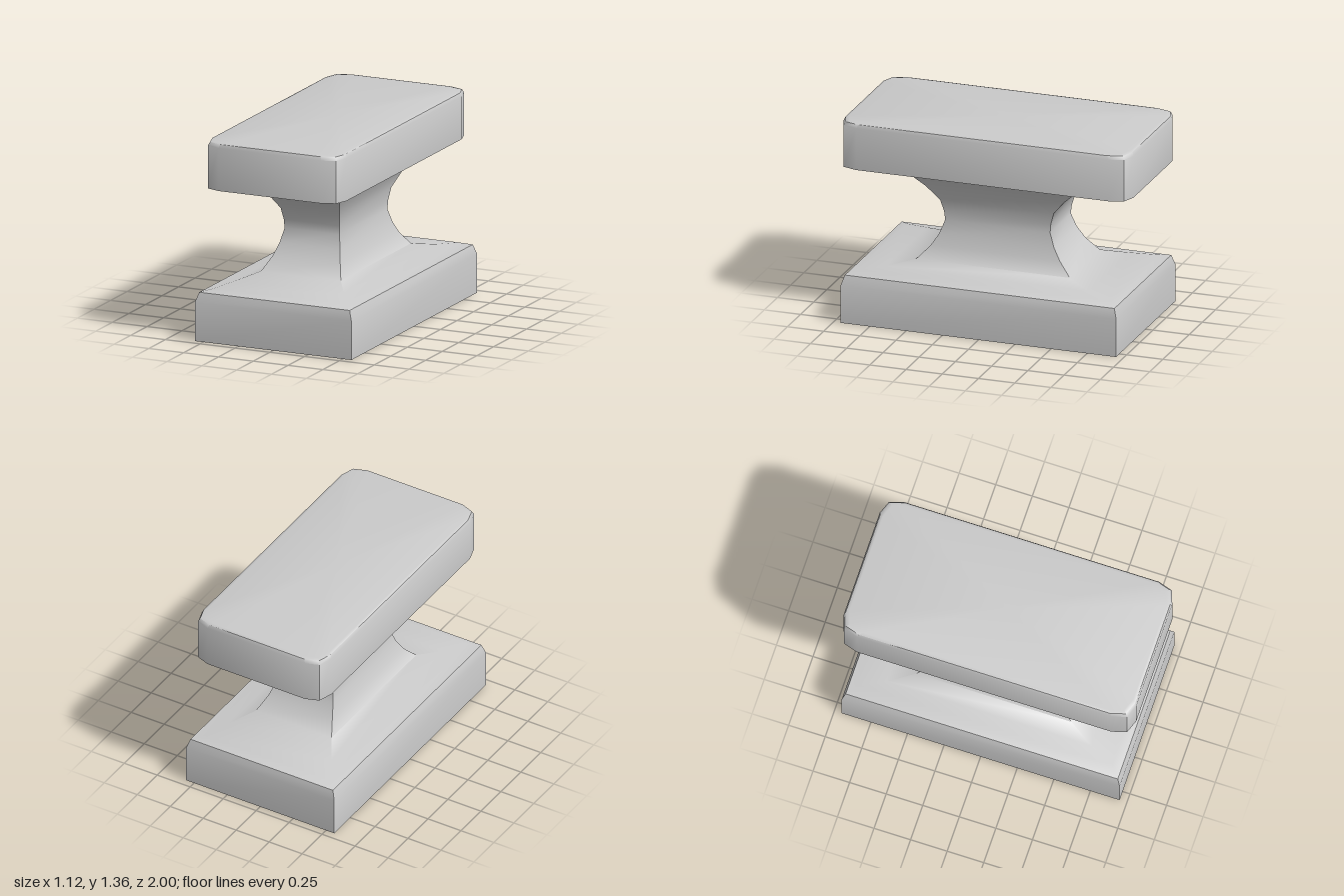
import * as THREE from 'three';
import { toCreasedNormals } from 'three/addons/utils/BufferGeometryUtils.js';

// Mirror the points of one corner into a closed outline, counter-clockwise from above
function outline(corner) {
  return [[1, 1], [1, -1], [-1, -1], [-1, 1]].flatMap(([sx, sz]) => {
    const pts = corner.map(([x, z]) => [x * sx, z * sz]);
    return sx * sz < 0 ? pts.reverse() : pts;
  });
}

// Skin a stack of { y, corner } sections and cap both ends
function loft(sections, crease = 0.87) {
  const rings = sections.map(({ y, corner }) => outline(corner).map(([x, z]) => [x, y, z]));
  const n = rings[0].length;
  const last = rings.length - 1;
  const positions = [];
  const tri = (...pts) => pts.forEach((p) => positions.push(...p));
  for (let j = 0; j < n; j++) {
    const k = (j + 1) % n;
    for (let i = 0; i < last; i++) {
      tri(rings[i][j], rings[i][k], rings[i + 1][k]);
      tri(rings[i][j], rings[i + 1][k], rings[i + 1][j]);
    }
    tri([0, sections[0].y, 0], rings[0][k], rings[0][j]);
    tri([0, sections[last].y, 0], rings[last][j], rings[last][k]);
  }
  const geometry = new THREE.BufferGeometry();
  geometry.setAttribute('position', new THREE.Float32BufferAttribute(positions, 3));
  return toCreasedNormals(geometry, crease);
}

export function createModel() {
  const group = new THREE.Group();
  const material = new THREE.MeshStandardMaterial({ color: 0xcccccc });
  const add = (name, geometry) => {
    const mesh = new THREE.Mesh(geometry, material);
    mesh.name = name;
    group.add(mesh);
  };

  // Bevelled foot flowing into the pinched waist: y, half width, half depth
  const body = [
    [0, 0.562, 0.95], [0.26, 0.562, 0.95], [0.325, 0.54, 0.93],
    [0.345, 0.465, 0.87], [0.365, 0.39, 0.7], [0.4, 0.287, 0.53],
    [0.49, 0.242, 0.445], [0.57, 0.217, 0.395], [0.66, 0.197, 0.362],
    [0.72, 0.2, 0.368], [0.8, 0.211, 0.392], [0.9, 0.253, 0.478],
    [0.98, 0.3, 0.565], [1.04, 0.352, 0.65],
  ];
  add('baseAndWaist', loft(body.map(([y, x, z]) => ({ y, corner: [[x, z]] }))));

  // Working block with clipped corners and softened top edge: y, inset
  const block = [[1.04, 0], [1.327, 0], [1.35, 0.01], [1.355, 0.03]];
  const corner = [[0.37, 1], [0.46, 0.967], [0.49, 0.87]];
  add('topBlock', loft(block.map(([y, inset]) => ({
    y,
    corner: corner.map(([x, z]) => [x - inset, z - inset]),
  }))));

  return group;
}
